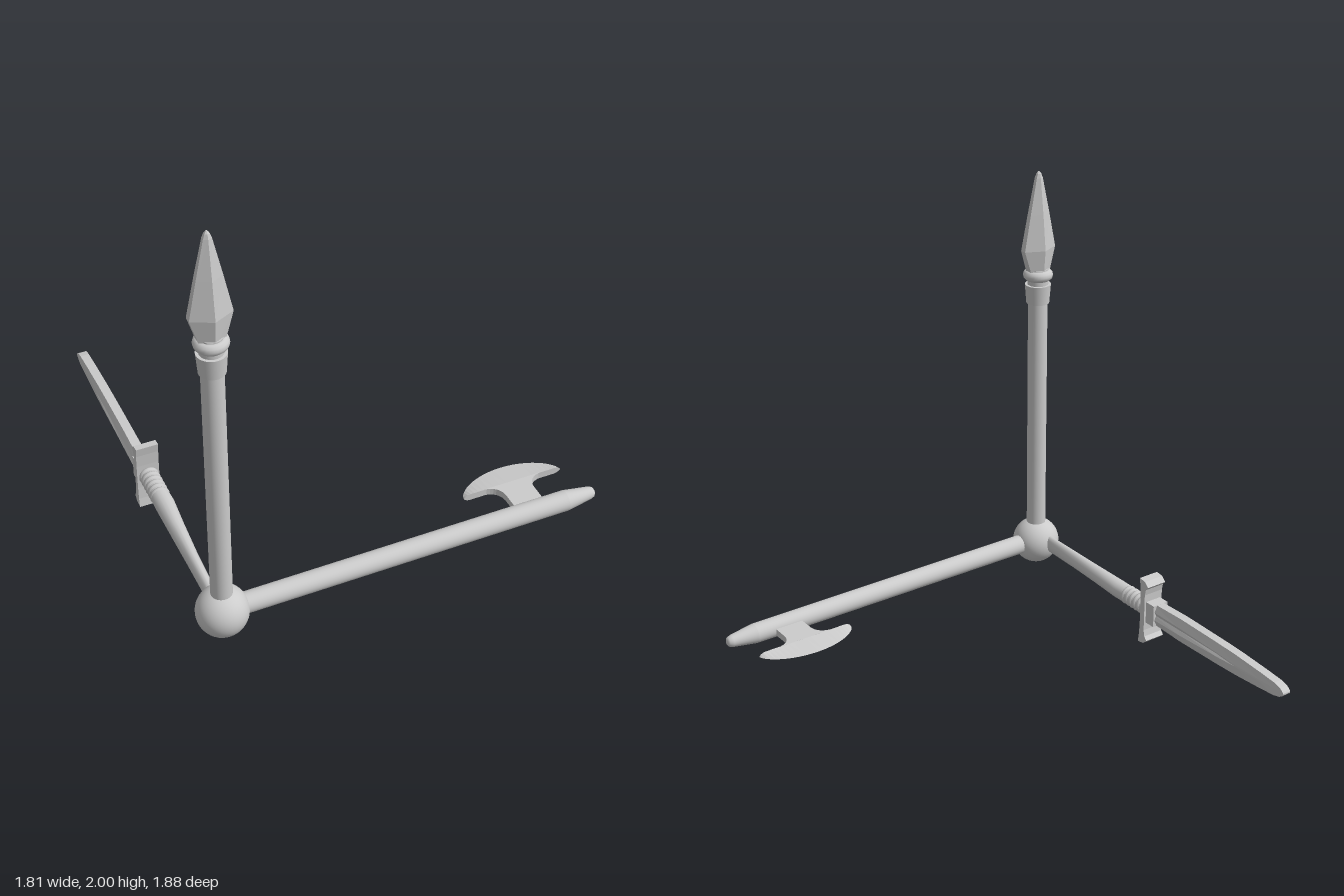
import * as THREE from 'three';

const material = new THREE.MeshStandardMaterial({ color: 0xcccccc });
const flat = new THREE.MeshStandardMaterial({ color: 0xcccccc, flatShading: true });
const v2 = (points) => points.map(([x, y]) => new THREE.Vector2(x, y));

// Joins equal-sized counter-clockwise cross-sections [[x, y], ...] placed at [z] and caps both ends
function loft(sections) {
  const positions = [], index = [], n = sections[0].points.length;
  for (const { z, points } of sections) for (const [x, y] of points) positions.push(x, y, z);
  for (let k = 0; k < sections.length - 1; k++) {
    for (let i = 0; i < n; i++) {
      const a = k * n + i, b = k * n + (i + 1) % n;
      index.push(a, b, b + n, a, b + n, a + n);
    }
  }
  const last = (sections.length - 1) * n;
  for (let i = 1; i < n - 1; i++) {
    index.push(0, i + 1, i, last, last + i, last + i + 1);
  }
  const geometry = new THREE.BufferGeometry();
  geometry.setAttribute('position', new THREE.Float32BufferAttribute(positions, 3));
  geometry.setIndex(index);
  geometry.computeVertexNormals();
  return geometry;
}

function add(group, name, geometry, mat = material) {
  const mesh = new THREE.Mesh(geometry, mat);
  mesh.name = name;
  group.add(mesh);
  return mesh;
}

// Spear, standing along +y from the hub centre
function buildSpear() {
  const spear = new THREE.Group();
  spear.name = 'spear';
  add(spear, 'spearShaft', new THREE.CylinderGeometry(0.045, 0.045, 1.26, 32).translate(0, 0.63, 0));
  add(spear, 'ferrule', new THREE.CylinderGeometry(0.06, 0.053, 0.09, 32).translate(0, 1.27, 0));
  add(spear, 'neck', new THREE.CylinderGeometry(0.048, 0.048, 0.1, 32).translate(0, 1.34, 0));
  add(spear, 'collarRing', new THREE.TorusGeometry(0.043, 0.026, 12, 32).rotateX(Math.PI / 2).translate(0, 1.36, 0));

  // [height, half width, half depth, half edge thickness]
  const profile = [
    [1.37, 0.05, 0.045, 0.02], [1.485, 0.085, 0.056, 0.015], [1.65, 0.052, 0.038, 0.012],
    [1.815, 0.017, 0.016, 0.008], [1.835, 0.01, 0.011, 0.006], [1.845, 0.003, 0.003, 0.002],
  ];
  const head = loft(profile.map(([z, w, d, e]) => ({
    z, points: [[w, -e], [w, e], [0, d], [-w, e], [-w, -e], [0, -d]],
  })));
  add(spear, 'spearHead', head.rotateX(-Math.PI / 2), flat);
  return spear;
}

// Axe, lying along +x from the hub centre, blade towards -z
function buildAxe() {
  const axe = new THREE.Group();
  axe.name = 'axe';
  const shaft = new THREE.LatheGeometry(v2([
    [0, 0], [0.045, 0], [0.045, 1.56], [0.045, 1.561], [0.028, 1.675], [0.022, 1.692], [0.012, 1.699], [0, 1.7],
  ]), 32);
  add(axe, 'axeShaft', shaft.rotateZ(-Math.PI / 2));

  // Flared neck between shaft and blade
  const neck = new THREE.Shape();
  neck.moveTo(-0.067, 0.02);
  neck.lineTo(0.067, 0.02);
  neck.lineTo(0.067, 0.12);
  neck.quadraticCurveTo(0.072, 0.18, 0.14, 0.187);
  neck.lineTo(-0.14, 0.187);
  neck.quadraticCurveTo(-0.072, 0.18, -0.067, 0.12);
  const neckGeometry = new THREE.ExtrudeGeometry(neck, { depth: 0.032, bevelEnabled: false, curveSegments: 8 });
  add(axe, 'axeNeck', neckGeometry.rotateX(-Math.PI / 2).translate(1.408, -0.02, 0));

  // Curved blade, wedge-shaped towards its cutting edge
  const steps = 24, sections = [];
  for (let i = 0; i <= steps; i++) {
    const u = -Math.cos((i / steps) * Math.PI);
    const reach = 0.002 + 0.11 * Math.pow(Math.max(0, 1 - u * u), 0.62);
    const t = 0.016 * Math.min(1, reach / 0.04);
    sections.push({ z: u * 0.233, points: [[0, -t], [reach, 0], [0, t]] });
  }
  add(axe, 'axeBlade', loft(sections).rotateY(Math.PI / 2).translate(1.408, -0.004, -0.185), flat);
  return axe;
}

// Dagger, built along local +z and turned to point towards -z
function buildDagger() {
  const dagger = new THREE.Group();
  dagger.name = 'dagger';

  // Handle: round at the grip, narrowing sideways towards the hub [z, offset x, half x, half y]
  const handle = [
    [0.03, 0.014, 0.022, 0.04], [0.3, 0.01, 0.028, 0.04], [0.5, 0.005, 0.036, 0.04],
    [0.65, 0, 0.043, 0.041], [0.71, 0, 0.041, 0.041], [0.87, 0, 0.037, 0.037],
  ].map(([z, x, rx, ry]) => ({
    z,
    points: Array.from({ length: 16 }, (_, i) => {
      const a = (i / 16) * Math.PI * 2;
      return [x + rx * Math.cos(a), ry * Math.sin(a)];
    }),
  }));
  add(dagger, 'handle', loft(handle));
  for (let i = 0; i < 6; i++) {
    add(dagger, 'gripRing', new THREE.TorusGeometry(0.032, 0.012, 8, 24).translate(0, 0, 0.715 + i * 0.027));
  }

  // Crossguard with flared ends and a block that holds the blade
  const half = [[0.885, 0.158], [0.849, 0.163], [0.855, 0.12], [0.858, 0.06]];
  const outline = [...half, ...half.map(([s, y]) => [s, -y]).reverse(),
    [0.908, -0.137], [0.893, -0.12], [0.887, -0.09], [0.887, 0.09], [0.893, 0.12], [0.908, 0.137]];
  const guard = new THREE.ExtrudeGeometry(new THREE.Shape(v2(outline)), { depth: 0.1, bevelEnabled: false });
  // Shape x becomes the dagger's length
  add(dagger, 'crossguard', guard.rotateY(-Math.PI / 2).translate(0.05, 0, 0), flat);
  add(dagger, 'bladeSocket', new THREE.BoxGeometry(0.08, 0.105, 0.06).translate(0, 0, 0.91), flat);

  // Blade with blunt edges and a central groove that fades out
  // [z, half height, half thickness at shoulder, at edge, groove half height, half thickness in groove]
  const blade = [
    [0.9, 0.051, 0.034, 0.02, 0.02, 0.024], [1.1, 0.057, 0.033, 0.02, 0.018, 0.023],
    [1.35, 0.053, 0.03, 0.02, 0.01, 0.023], [1.47, 0.049, 0.028, 0.02, 0.004, 0.028],
    [1.62, 0.039, 0.024, 0.02, 0.004, 0.024], [1.71, 0.031, 0.021, 0.02, 0.004, 0.021],
    [1.745, 0.022, 0.02, 0.02, 0.004, 0.02], [1.762, 0.01, 0.02, 0.02, 0.003, 0.02],
    [1.767, 0.003, 0.02, 0.02, 0.001, 0.02],
  ].map(([z, h, s, e, g, c]) => ({
    z, points: [[e, -h], [s, -g], [c, 0], [s, g], [e, h], [-e, h], [-s, g], [-c, 0], [-s, -g], [-e, -h]],
  }));
  add(dagger, 'daggerBlade', loft(blade), flat);

  dagger.rotation.y = Math.PI;
  dagger.position.y = 0.01;
  return dagger;
}

export function createModel() {
  const model = new THREE.Group();
  model.name = 'weaponAxes';
  const hub = new THREE.Group();
  hub.name = 'hub';
  hub.position.set(-0.795, 0.155, 0.828);
  add(hub, 'hubSphere', new THREE.SphereGeometry(0.11, 32, 24));
  hub.add(buildSpear(), buildAxe(), buildDagger());
  model.add(hub);
  return model;
}
